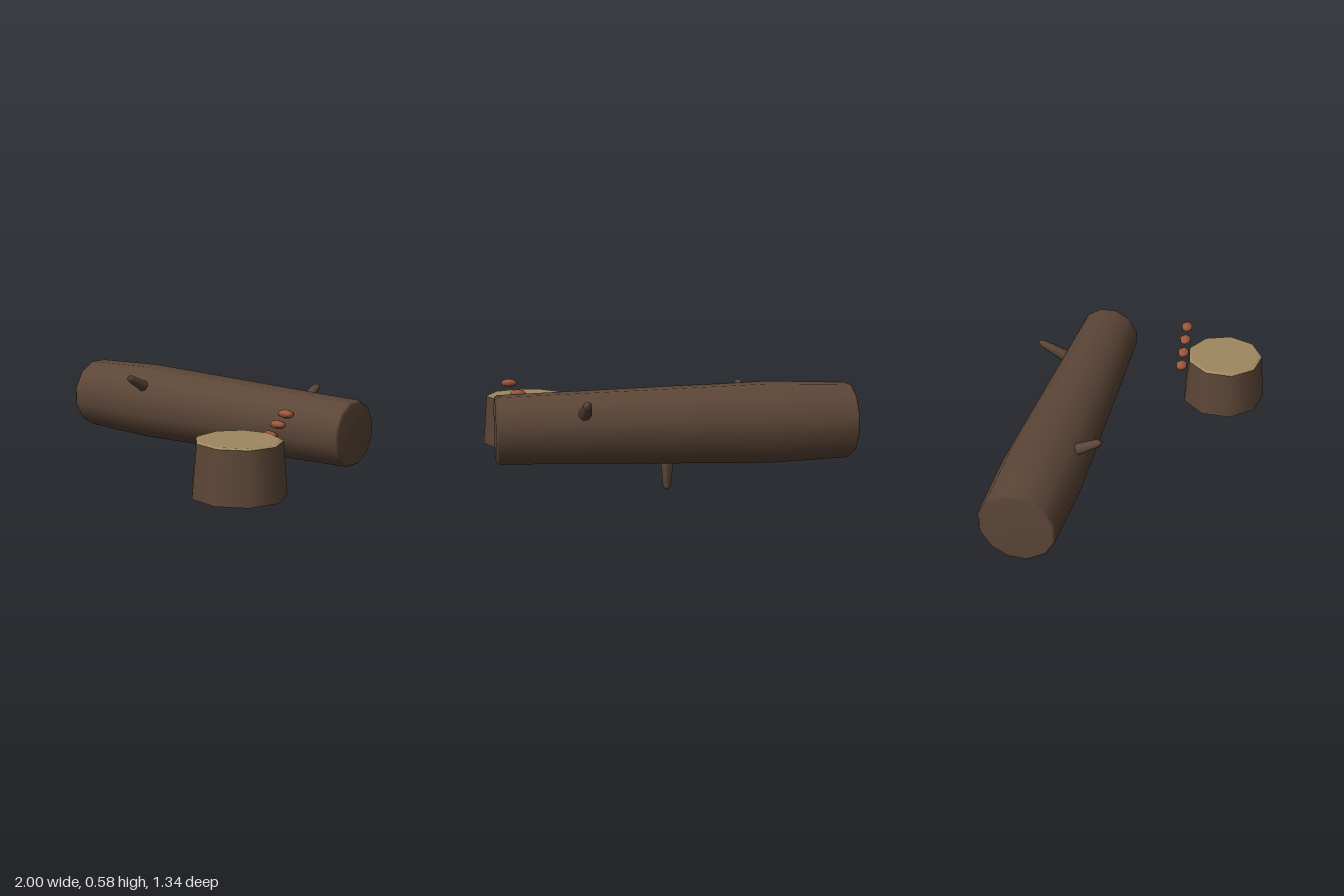
import * as THREE from 'three';

const mat = (name, color, side = THREE.FrontSide) => {
  const m = new THREE.MeshStandardMaterial({ color, side });
  m.name = name;
  return m;
};

// Turned shape from [radius, height] pairs
const lathe = (pairs, sides, start = 0) =>
  new THREE.LatheGeometry(pairs.map(([r, h]) => new THREE.Vector2(r, h)), sides, start);

export function createModel() {
  const bark = mat('bark brown', 0x5c4637, THREE.DoubleSide);
  const wood = mat('cut wood', 0x9f8860);
  const cap = mat('mushroom orange', 0xa0583a);

  const model = new THREE.Group();
  const add = (name, geometry, material, x = 0, y = 0, z = 0) => {
    const mesh = new THREE.Mesh(geometry, material);
    mesh.name = name;
    mesh.position.set(x, y, z);
    model.add(mesh);
    return mesh;
  };

  // Fallen log lying along x, tapered, with softly bevelled ends
  const log = lathe([
    [0, -1], [0.198, -1], [0.211, -0.985], [0.226, -0.53],
    [0.184, 0.935], [0.174, 0.95], [0, 0.95],
  ], 12, Math.PI / 12);
  log.rotateZ(-Math.PI / 2);
  add('log', log, bark, 0, 0.362, -0.352);

  // Broken branch stubs, from inside the log out to a blunt tip
  const up = new THREE.Vector3(0, 1, 0);
  const stubs = [
    ['frontBranch', [-0.437, 0.45, -0.245], [-0.437, 0.557, -0.045]],
    ['backBranch', [0.49, 0.43, -0.46], [0.49, 0.532, -0.673]],
    ['lowerBranch', [0.025, 0.22, -0.34], [0.025, 0, -0.34]],
  ];
  for (const [name, from, to] of stubs) {
    const a = new THREE.Vector3(...from);
    const d = new THREE.Vector3(...to).sub(a);
    const len = d.length();
    const stub = add(name, lathe([
      [0, 0], [0.041, 0], [0.023, len - 0.022], [0.011, len - 0.003], [0, len],
    ], 7), bark, ...from);
    stub.quaternion.setFromUnitVectors(up, d.normalize());
  }

  // Stump, open underneath, with a pale cut top
  add('stumpBark', lathe([[0.25, 0.15], [0.227, 0.432]], 9, Math.PI / 2), bark, 0.745, 0, 0.423);
  add('stumpTop', lathe([[0.227, 0.432], [0.212, 0.44]], 9, Math.PI / 2), wood, 0.745, 0, 0.423);
  add('stumpCutFace', lathe([[0.212, 0.44], [0, 0.44]], 9, Math.PI / 2), wood, 0.745, 0, 0.423);

  // Row of small shelf mushrooms climbing behind the stump
  const mushroom = new THREE.SphereGeometry(1, 6, 4);
  mushroom.rotateZ(-Math.PI / 2);
  mushroom.scale(0.046, 0.024, 0.037);
  for (let i = 0; i < 4; i++) {
    add('mushroom' + (i + 1), mushroom, cap, 0.7 + i * 0.05, 0.355 + i * 0.062, 0.166);
  }

  return model;
}
